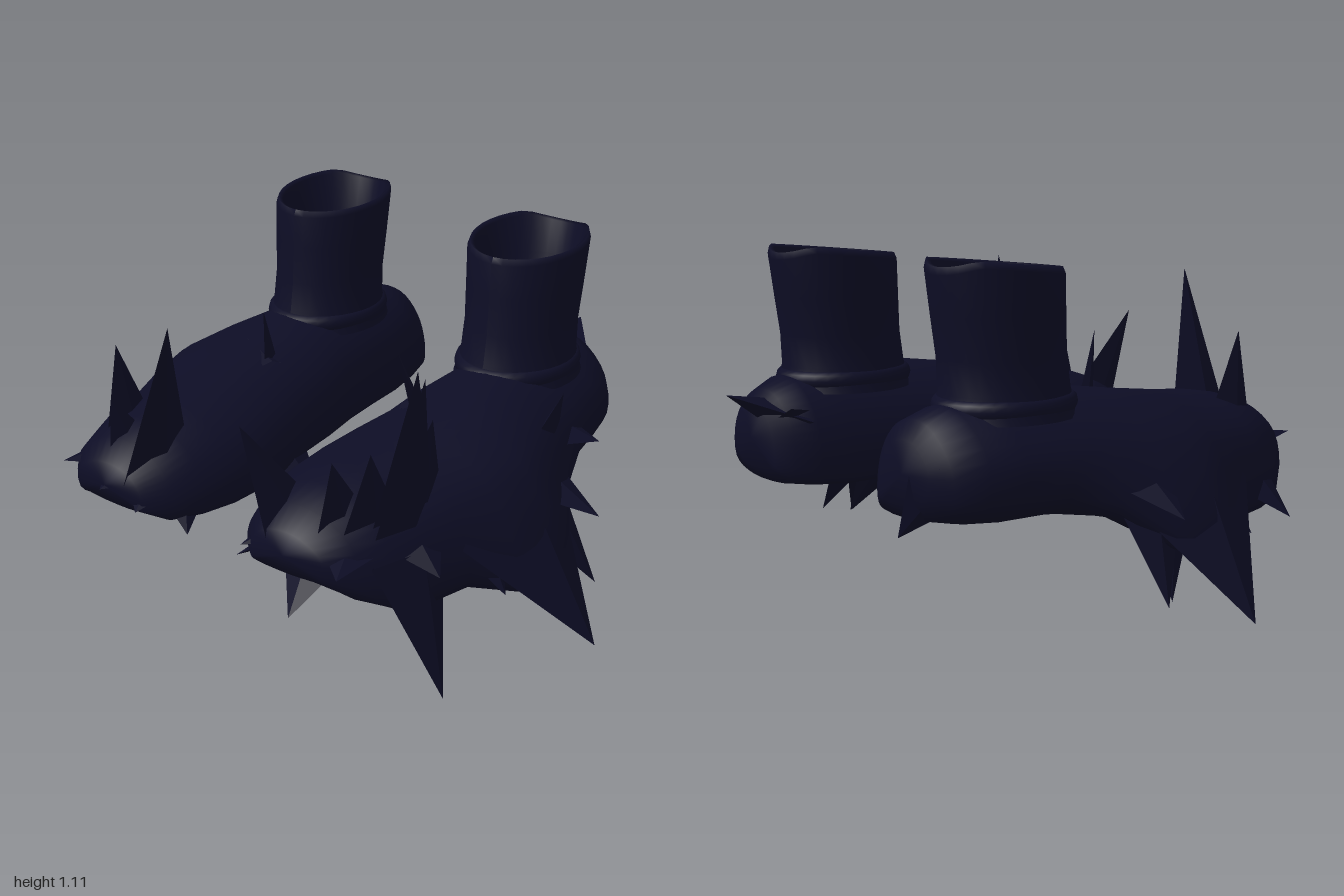
import * as THREE from 'three';

const leather = new THREE.MeshStandardMaterial({ color: 0x0d0d25, side: THREE.DoubleSide });
leather.name = 'dark navy leather';

function add(group, geometry, name) {
  const mesh = new THREE.Mesh(geometry, leather);
  mesh.name = name;
  group.add(mesh);
  return mesh;
}

// Shoe sections: z, inner x, outer x, bottom y, top y, flare x, flare y
const sections = [
  [-0.73, 0.27, 0.50, 0.42, 0.60, 0.48, 0.46],
  [-0.69, 0.21, 0.56, 0.375, 0.65, 0.55, 0.42],
  [-0.60, 0.19, 0.62, 0.36, 0.68, 0.60, 0.42],
  [-0.48, 0.175, 0.65, 0.35, 0.69, 0.63, 0.42],
  [-0.33, 0.165, 0.67, 0.35, 0.69, 0.66, 0.42],
  [-0.18, 0.15, 0.69, 0.35, 0.69, 0.71, 0.36],
  [-0.04, 0.13, 0.73, 0.345, 0.68, 0.80, 0.25],
  [0.10, 0.12, 0.76, 0.34, 0.66, 0.86, 0.19],
  [0.24, 0.095, 0.73, 0.335, 0.64, 0.80, 0.22],
  [0.38, 0.08, 0.68, 0.33, 0.62, 0.71, 0.27],
  [0.50, 0.085, 0.66, 0.33, 0.61, 0.68, 0.27],
  [0.62, 0.11, 0.61, 0.335, 0.59, 0.64, 0.28],
  [0.72, 0.15, 0.57, 0.345, 0.56, 0.57, 0.34],
  [0.79, 0.22, 0.50, 0.385, 0.51, 0.48, 0.40],
];

// Closed loft through the sections, mirrored by side = 1 or -1
function shoeGeometry(side) {
  const n = 36, pos = [], index = [];
  const tri = (a, b, c) => (side > 0 ? index.push(a, b, c) : index.push(a, c, b));
  for (const [z, xi, xo, yb, yt, fx, fy] of sections) {
    const w = xo - xi, h = yt - yb, xc = (xi + xo) / 2;
    const ring = new THREE.CatmullRomCurve3([
      [xi + 0.09 * w, yb], [xi + 0.012 * w, yb + 0.06 * h], [xi, yb + 0.36 * h], [xi + 0.1 * w, yb + 0.74 * h],
      [xc - 0.18 * w, yt], [xc + 0.16 * w, yt], [xo - 0.04 * w, yb + 0.61 * h], [fx, fy], [xc + 0.2 * w, yb],
    ].map(([x, y]) => new THREE.Vector3(x * side, y, z)), true);
    for (let j = 0; j < n; j++) pos.push(...ring.getPoint(j / n).toArray());
  }
  const last = sections.length - 1;
  for (let i = 0; i < last; i++) {
    for (let j = 0; j < n; j++) {
      const a = i * n + j, b = i * n + (j + 1) % n;
      tri(a, a + n, b);
      tri(b, a + n, b + n);
    }
  }
  // Rounded heel and toe ends
  for (const [i, dz] of [[0, -0.01], [last, 0.02]]) {
    const [z, xi, xo, yb, yt] = sections[i], c = pos.length / 3;
    pos.push(side * (xi + xo) / 2, (yb + yt) / 2, z + dz);
    for (let j = 0; j < n; j++) {
      const a = i * n + j, b = i * n + (j + 1) % n;
      if (i === 0) tri(c, a, b); else tri(c, b, a);
    }
  }
  const g = new THREE.BufferGeometry();
  g.setAttribute('position', new THREE.Float32BufferAttribute(pos, 3));
  g.setIndex(index);
  g.computeVertexNormals();
  return g;
}

// Hollow ankle shaft with a thick wall
function shaftGeometry() {
  const profile = [
    [0.2, 0.64], [0.18, 0.72], [0.176, 0.82], [0.182, 0.95], [0.188, 1.07], [0.182, 1.09],
    [0.168, 1.08], [0.155, 0.98], [0.13, 0.85], [0.115, 0.72], [0.001, 0.7],
  ].map(([x, y]) => new THREE.Vector2(x, y));
  const g = new THREE.LatheGeometry(profile, 32);
  const p = g.attributes.position;
  for (let i = 0; i < p.count; i++) {
    const x = p.getX(i), y = p.getY(i), z = p.getZ(i);
    const lean = Math.max(0, y - 0.7) * -0.1;
    // The rim climbs towards the back, then dips behind the heel
    const rim = y > 1 ? -z * 0.11 - Math.max(0, -z - 0.14) * 0.6 + 0.005 : 0;
    p.setXYZ(i, x, y + rim, z * 1.17 + lean - 0.365);
  }
  g.computeVertexNormals();
  return g;
}

// Faceted shard from a base point to a tip, flattened in one direction
function shardGeometry(tip, base, r, flat = 0.35) {
  const t = new THREE.Vector3(...tip), b = new THREE.Vector3(...base);
  const dir = t.clone().sub(b), len = dir.length();
  const g = new THREE.ConeGeometry(r, len, 4, 1, true).toNonIndexed();
  g.scale(flat, 1, 1).translate(0, len / 2, 0);
  g.computeVertexNormals();
  // Keep the wide direction of the blade along the shoe where possible
  const y = dir.normalize();
  const ref = Math.abs(y.z) > 0.75 ? new THREE.Vector3(1, 0, 0) : new THREE.Vector3(0, 0, 1);
  const x = y.clone().cross(ref).normalize(), z = x.clone().cross(y);
  g.applyMatrix4(new THREE.Matrix4().makeBasis(x, y, z).setPosition(b));
  return g;
}

// Shards shared by both boots: tip, base, radius
const sharedShards = [
  [[0.995, 0.035, 0.10], [0.68, 0.42, 0.12], 0.29],
  [[0.86, 0.10, -0.13], [0.67, 0.42, -0.04], 0.15],
  [[0.80, 0.09, -0.05], [0.69, 0.36, 0.04], 0.11],
  [[0.88, 0.36, -0.09], [0.64, 0.46, -0.06], 0.14],
  [[0.80, 0.24, 0.31], [0.64, 0.40, 0.26], 0.13],
  [[-0.02, 0.265, 0.20], [0.18, 0.39, 0.20], 0.13],
  [[0.10, 0.32, 0.72], [0.24, 0.41, 0.60], 0.10],
];

const leftShards = [
  [[0.76, 0.00, 0.57], [0.60, 0.42, 0.53], 0.17],
  [[0.69, 1.01, 0.59], [0.58, 0.52, 0.53], 0.13],
  [[0.63, 1.00, 0.54], [0.55, 0.52, 0.49], 0.15],
  [[0.60, 0.80, 0.42], [0.55, 0.50, 0.45], 0.16],
  [[0.56, 0.77, 0.66], [0.50, 0.49, 0.60], 0.13],
  [[0.47, 0.74, 0.72], [0.44, 0.48, 0.65], 0.12],
  [[0.74, 0.40, 0.57], [0.55, 0.46, 0.49], 0.14],
  [[0.57, 0.45, 0.83], [0.48, 0.46, 0.62], 0.12],
  [[0.41, 0.28, 0.85], [0.38, 0.44, 0.66], 0.13],
  [[0.22, 0.82, 0.82], [0.29, 0.46, 0.68], 0.12],
  [[0.20, 0.43, 0.81], [0.28, 0.45, 0.63], 0.11],
  [[0.69, 0.70, -0.16], [0.62, 0.48, -0.14], 0.12],
  [[0.75, 0.50, -0.30], [0.60, 0.52, -0.25], 0.13],
  [[0.35, 0.66, -0.85], [0.36, 0.57, -0.63], 0.16],
  [[0.20, 0.62, -0.71], [0.32, 0.56, -0.62], 0.10],
];

const rightShards = [
  [[-0.13, 1.00, 0.73], [-0.28, 0.48, 0.66], 0.14],
  [[-0.77, 0.25, 0.54], [-0.57, 0.42, 0.48], 0.15],
  [[-0.70, 0.30, 0.40], [-0.56, 0.42, 0.38], 0.11],
  [[-0.55, 0.47, 0.80], [-0.48, 0.45, 0.62], 0.12],
  [[-0.36, 0.44, 0.83], [-0.36, 0.44, 0.66], 0.13],
  [[-0.22, 0.40, 0.82], [-0.28, 0.44, 0.64], 0.12],
  [[-0.48, 0.82, 0.61], [-0.47, 0.50, 0.58], 0.11],
  [[-0.40, 0.70, 0.72], [-0.38, 0.47, 0.66], 0.11],
  [[-0.43, 0.34, -0.79], [-0.42, 0.47, -0.65], 0.11],
  [[-0.52, 0.54, -0.71], [-0.42, 0.54, -0.59], 0.11],
];

function createBoot(side) {
  const boot = new THREE.Group();
  boot.name = side > 0 ? 'leftBoot' : 'rightBoot';
  const ankleX = side > 0 ? 0.393 : -0.407;
  add(boot, shoeGeometry(side), 'shoeBody');
  add(boot, shaftGeometry(), 'ankleShaft').position.x = ankleX;

  // Slim padded collar where the shaft meets the shoe
  const collar = new THREE.TorusGeometry(0.176, 0.02, 10, 32).rotateX(Math.PI / 2).scale(1, 1.5, 1.2);
  add(boot, collar, 'collar').position.set(ankleX, 0.68, -0.365);

  // Lace knot with an upright loose end
  add(boot, shardGeometry([side * 0.27, 0.84, 0.145], [side * 0.3, 0.63, 0.08], 0.03), 'laceEnd');
  add(boot, shardGeometry([side * 0.42, 0.68, 0.06], [side * 0.27, 0.64, 0.11], 0.035), 'laceLoop');

  // Jagged shards along the outer side, toe and heel
  const shards = new THREE.Group();
  shards.name = 'shards';
  boot.add(shards);
  for (const [t, b, r] of sharedShards) {
    add(shards, shardGeometry([t[0] * side, t[1], t[2]], [b[0] * side, b[1], b[2]], r), 'shard');
  }
  for (const [t, b, r] of side > 0 ? leftShards : rightShards) add(shards, shardGeometry(t, b, r), 'shard');
  return boot;
}

export function createModel() {
  const model = new THREE.Group();
  model.name = 'spikedBoots';
  model.add(createBoot(1), createBoot(-1));
  return model;
}
